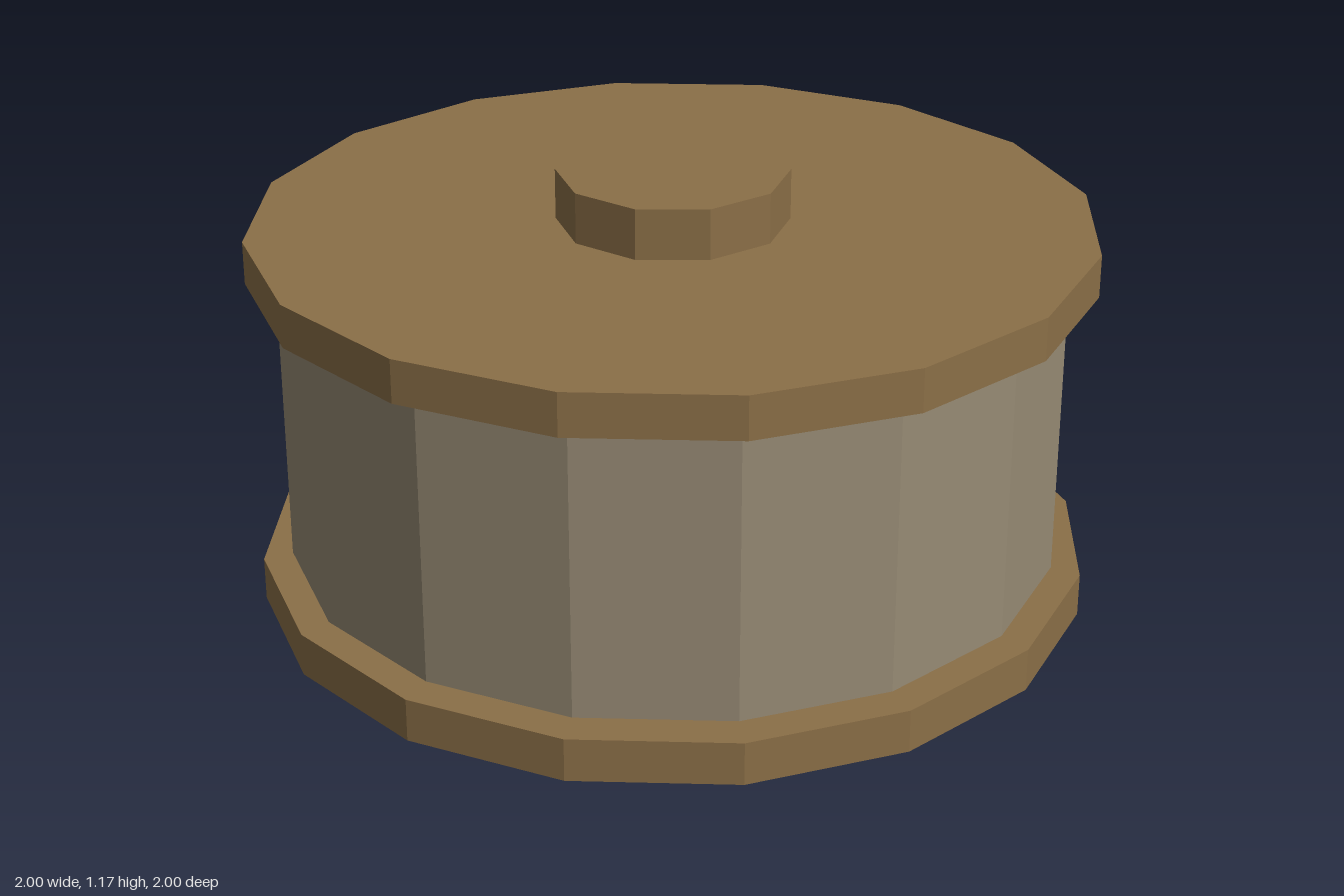
import * as THREE from 'three';

export function createModel() {
  const group = new THREE.Group();
  const wood = new THREE.MeshStandardMaterial({ color: 0x8b6f47, flatShading: true });
  wood.name = 'brownWood';
  const wrap = new THREE.MeshStandardMaterial({ color: 0x968a74, flatShading: true });
  wrap.name = 'greyBeigeWrap';

  // Upright prism from y0 to y1
  function prism(name, radius, sides, y0, y1, material) {
    const mesh = new THREE.Mesh(new THREE.CylinderGeometry(radius, radius, y1 - y0, sides), material);
    mesh.position.y = (y0 + y1) / 2;
    mesh.name = name;
    group.add(mesh);
  }

  prism('axle', 0.275, 10, 0, 1.175, wood);
  prism('lowerFlange', 1, 16, 0.125, 0.23, wood);
  prism('upperFlange', 1, 16, 0.95, 1.053, wood);
  prism('drum', 0.93, 16, 0.243, 0.935, wrap);

  // Inner brace running through the drum, with chamfered ends
  const outline = [[-0.6, 0.225], [0.6, 0.225], [0.65, 0.28], [0.65, 0.9], [0.6, 0.955], [-0.6, 0.955], [-0.65, 0.9], [-0.65, 0.28]];
  const shape = new THREE.Shape(outline.map(([x, y]) => new THREE.Vector2(x, y)));
  const brace = new THREE.Mesh(new THREE.ExtrudeGeometry(shape, { depth: 0.14, bevelEnabled: false }), wood);
  brace.position.z = -0.07;
  brace.name = 'innerBrace';
  group.add(brace);

  return group;
}
